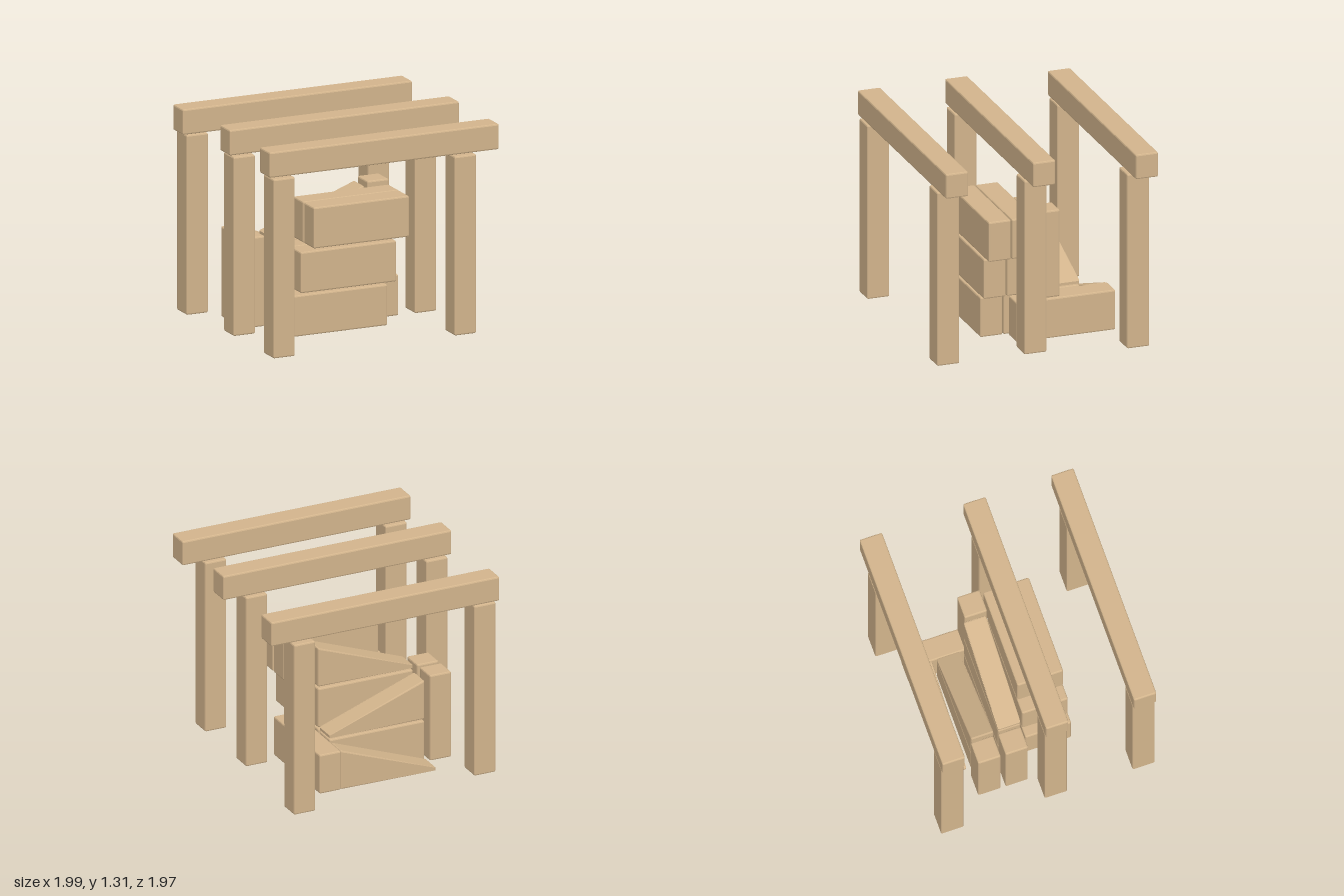
import * as THREE from 'three';
import { RoundedBoxGeometry } from 'three/addons/geometries/RoundedBoxGeometry.js';

const wood = new THREE.MeshStandardMaterial({ color: 0xd2b48c, flatShading: true });
const T = 0.14; // common plank thickness

// Chamfered block given by its centre in plan, its bottom and its size
function block(name, x, y, z, w, h, d) {
  const mesh = new THREE.Mesh(new RoundedBoxGeometry(w, h, d, 1, 0.009), wood);
  mesh.name = name;
  mesh.position.set(x, y + h / 2, z);
  return mesh;
}

// Block whose top slopes down to a thin end; dir is the side of the high end
function ramp(name, x, y, z, w, h, d, dir) {
  const mesh = block(name, x, y, z, w, h, d);
  const p = mesh.geometry.attributes.position;
  for (let i = 0; i < p.count; i++) {
    const t = THREE.MathUtils.clamp(0.5 + dir * p.getX(i) / w, 0, 1);
    const k = THREE.MathUtils.lerp(0.07, 1, t);
    p.setY(i, (p.getY(i) + h / 2) * k - h / 2);
  }
  mesh.geometry.computeVertexNormals();
  return mesh;
}

export function createModel() {
  const model = new THREE.Group();
  model.name = 'blockStructure';

  // Three portals: two posts carrying a beam
  for (const [z, y, postH] of [[-0.597, 0.01, 1.095], [0.046, 0.05, 1.09], [0.592, 0.05, 1.09]]) {
    const portal = new THREE.Group();
    portal.name = 'portal';
    const tilt = y < 0.03 ? 0.008 : 0;
    portal.add(
      block('leftPost', 0.527, y - tilt, z, T, postH, T),
      block('rightPost', -0.65, y + tilt, z, T, postH, T),
      block('beam', 0, y + postH + 0.012, z, 1.49, 0.155, T)
    );
    model.add(portal);
  }

  // Stepped wall: two rows of three long blocks, each layer shifted along
  const L = 0.62, H = 0.25;
  const layerY = [0.04, 0.3, 0.562];
  const shift = [-0.095, -0.037, 0.047];
  for (const z of [0.18, 0.035]) {
    layerY.forEach((y, i) => model.add(block('wallBlock', shift[i], y, z, L, H, T)));
  }

  // Zigzag ramps descending away from the wall, on full blocks
  const rows = [[-0.095, -0.135, 2, 1], [-0.09, -0.3, 1, -1], [-0.082, -0.467, 0, 1]];
  for (const [x, z, top, dir] of rows) {
    for (let i = 0; i < top; i++) model.add(block('rampSupport', x, layerY[i], z, L, H, T));
    model.add(ramp('ramp', x, layerY[top], z, L, H, T, dir));
  }

  // Cross block at one end with an upright standing on it
  model.add(block('crossBlock', 0.298, 0.04, -0.23, T, H, L));
  model.add(block('crossUpright', 0.298, 0.295, -0.122, T, 0.545, T));

  // Two short uprights at the other end
  for (const z of [-0.314, -0.144]) model.add(block('shortUpright', -0.498, 0.03, z, T, 0.55, T));

  // The whole structure stands diagonally
  const root = new THREE.Group();
  root.name = 'model';
  model.rotation.y = 0.69;
  root.add(model);
  return root;
}
